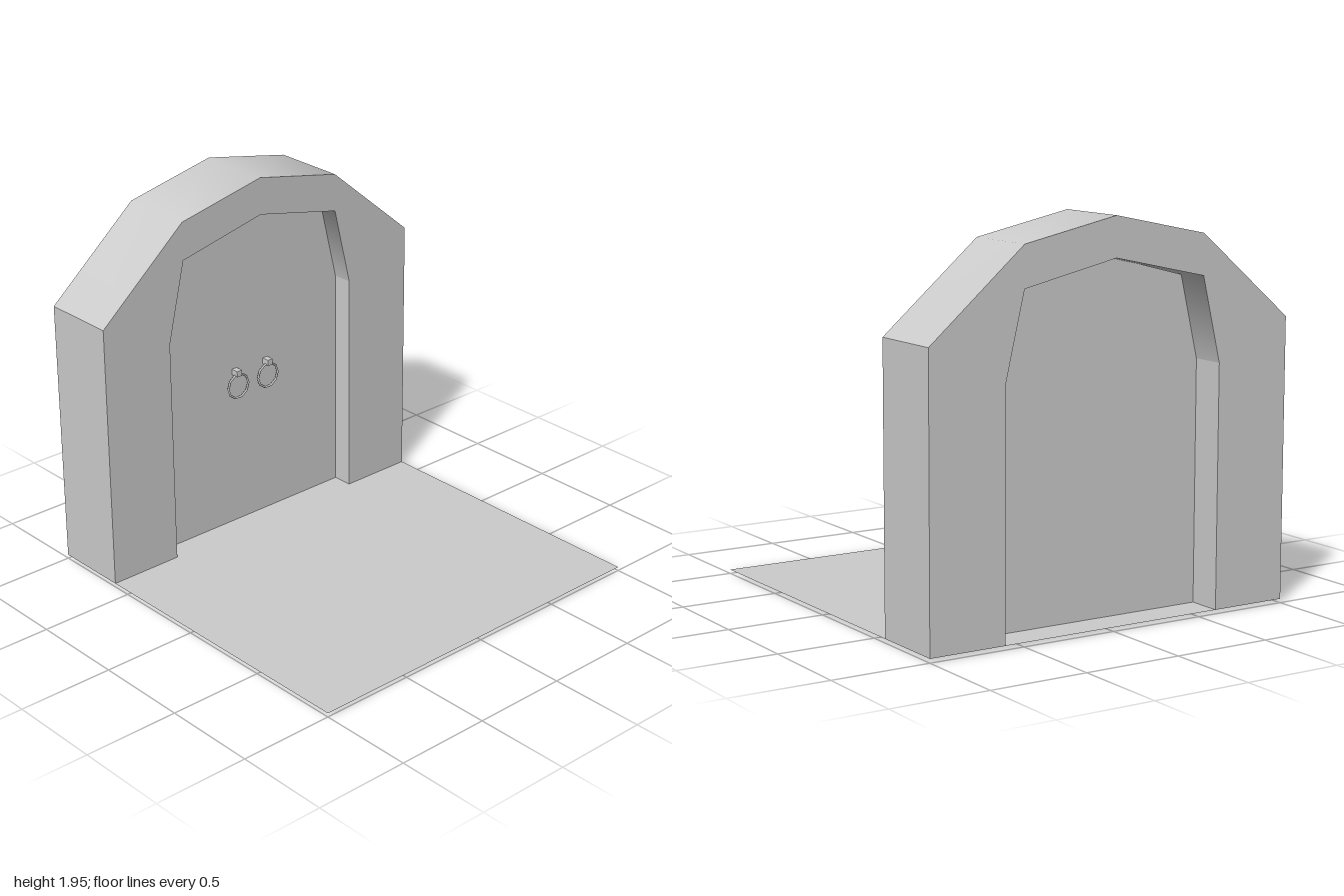
import * as THREE from 'three';

const BACK = -1, FRONT = -0.6, FLOOR = 0.02;
const material = new THREE.MeshStandardMaterial({ color: 0xcccccc });
const doubleMaterial = new THREE.MeshStandardMaterial({ color: 0xcccccc, side: THREE.DoubleSide });

// Profiles are [z, y] pairs
const roofLine = [[1, 1.415], [0.5, 1.84], [0, 1.945], [-0.5, 1.84], [-1, 1.415]];
const archLine = [[-0.6, 1.22], [-0.5, 1.64], [0, 1.75], [0.5, 1.64], [0.6, 1.22]];

function addMesh(parent, name, geometry, mat = material) {
  const mesh = new THREE.Mesh(geometry, mat);
  mesh.name = name;
  parent.add(mesh);
  return mesh;
}

function makeShape(points) {
  return new THREE.Shape(points.map(([z, y]) => new THREE.Vector2(z, y)));
}

// Smooth band swept along x between the two wall faces
function strip(points) {
  const positions = [], index = [];
  points.forEach(([z, y], i) => {
    positions.push(BACK, y, z, FRONT, y, z);
    if (i > 0) {
      const a = 2 * (i - 1);
      index.push(a, a + 1, a + 2, a + 1, a + 3, a + 2);
    }
  });
  const geometry = new THREE.BufferGeometry();
  geometry.setAttribute('position', new THREE.Float32BufferAttribute(positions, 3));
  geometry.setIndex(index);
  geometry.computeVertexNormals();
  return geometry;
}

function createWall() {
  const wall = new THREE.Group();
  wall.name = 'archedWall';

  // Flat faces around the doorway
  const face = makeShape([[1, FLOOR], ...roofLine, [-1, FLOOR], [-0.6, FLOOR], ...archLine, [0.6, FLOOR]]);
  addMesh(wall, 'wallFront', new THREE.ShapeGeometry(face).rotateY(Math.PI / 2).translate(FRONT, 0, 0));
  addMesh(wall, 'wallBack', new THREE.ShapeGeometry(face).rotateY(-Math.PI / 2).translate(BACK, 0, 0));

  // Outer ends, roof, jambs and the underside of the arch
  addMesh(wall, 'wallEndLeft', strip([[1, FLOOR], [1, 1.415]]));
  addMesh(wall, 'roof', strip(roofLine));
  addMesh(wall, 'wallEndRight', strip([[-1, 1.415], [-1, FLOOR]]));
  addMesh(wall, 'jambRight', strip([[-0.6, FLOOR], [-0.6, 1.22]]));
  addMesh(wall, 'archUnderside', strip(archLine));
  addMesh(wall, 'jambLeft', strip([[0.6, 1.22], [0.6, FLOOR]]));
  return wall;
}

function createDoor(side) {
  const door = new THREE.Group();
  door.name = side > 0 ? 'doorLeft' : 'doorRight';

  // Panel runs into the wall behind the jamb
  const outline = [[0, 0], [0.73, 0], [0.73, 1.22], [0.5, 1.63], [0.25, 1.695], [0, 1.76]];
  const shape = makeShape(outline.map(([z, y]) => [z * side, y]));
  const panel = new THREE.ExtrudeGeometry(shape, { depth: 0.115, bevelEnabled: false });
  panel.rotateY(-Math.PI / 2).translate(-0.708, 0, 0);
  addMesh(door, 'doorPanel', panel);

  // Ring handle hanging from a small block
  const mount = addMesh(door, 'handleMount', new THREE.BoxGeometry(0.045, 0.032, 0.032));
  mount.position.set(-0.688, 0.884, 0.104 * side);
  const ring = addMesh(door, 'handleRing', new THREE.TorusGeometry(0.067, 0.006, 6, 10));
  ring.rotation.y = Math.PI / 2;
  ring.position.set(-0.682, 0.808, 0.1 * side);
  return door;
}

export function createModel() {
  const model = new THREE.Group();
  model.name = 'archedDoorway';

  const ground = addMesh(model, 'ground', new THREE.PlaneGeometry(2, 2), doubleMaterial);
  ground.rotation.x = -Math.PI / 2;
  ground.position.y = FLOOR;

  model.add(createWall(), createDoor(1), createDoor(-1));
  return model;
}
